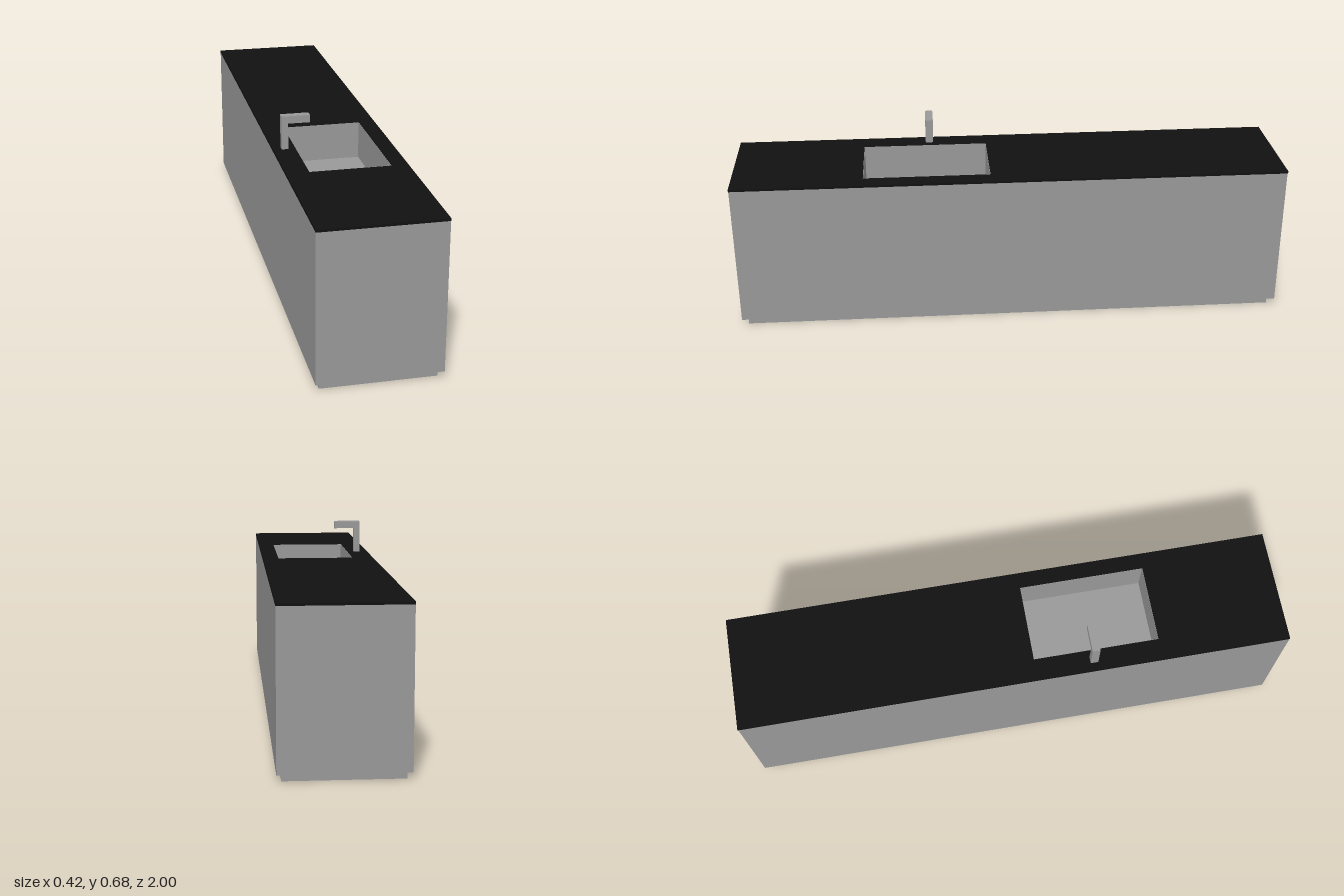
import * as THREE from 'three';

const grey = new THREE.MeshStandardMaterial({ color: 0x999999 });
const dark = new THREE.MeshStandardMaterial({ color: 0x111111 });

// Rectangles in plan: [x0, x1, z0, z1]
const SINK = [-0.13, 0.15, 0.075, 0.53];
const CUTOUT = [-0.131, 0.151, 0.074, 0.531];
const FLOOR_Y = 0.421;
const TOP_Y = 0.556;

// Box given by its minimum and maximum corners
function box(name, [x0, y0, z0], [x1, y1, z1]) {
  const mesh = new THREE.Mesh(new THREE.BoxGeometry(x1 - x0, y1 - y0, z1 - z0), grey);
  mesh.position.set((x0 + x1) / 2, (y0 + y1) / 2, (z0 + z1) / 2);
  mesh.name = name;
  return mesh;
}

// Plan rectangle as outline points (z is flipped by the later rotation)
function outline([x0, x1, z0, z1]) {
  return [[x0, -z1], [x1, -z1], [x1, -z0], [x0, -z0]].map(([x, y]) => new THREE.Vector2(x, y));
}

// Upright slab between two heights with a rectangular opening through it
function cutSlab(name, outer, hole, y0, y1, material) {
  const shape = new THREE.Shape(outline(outer));
  shape.holes.push(new THREE.Path(outline(hole)));
  const geometry = new THREE.ExtrudeGeometry(shape, { depth: y1 - y0, bevelEnabled: false });
  geometry.rotateX(-Math.PI / 2);
  const mesh = new THREE.Mesh(geometry, material);
  mesh.position.y = y0;
  mesh.name = name;
  return mesh;
}

export function createModel() {
  const model = new THREE.Group();
  model.name = 'kitchenIsland';

  // Recessed plinth, cabinet and worktop
  model.add(box('plinth', [-0.195, 0, -0.973], [0.194, 0.026, 0.977]));
  model.add(cutSlab('cabinet', [-0.21, 0.21, -0.998, 0.999], CUTOUT, 0.026, 0.547, grey));
  model.add(cutSlab('worktop', [-0.21, 0.21, -1, 1], CUTOUT, 0.547, TOP_Y, dark));

  // Basin walls rising flush with the worktop, floor and drain
  const sink = new THREE.Group();
  sink.name = 'sink';
  const [x0, x1, z0, z1] = SINK;
  sink.add(
    cutSlab('basinWalls', CUTOUT, SINK, FLOOR_Y - 0.01, TOP_Y, grey),
    box('basinFloor', [x0, FLOOR_Y - 0.01, z0], [x1, FLOOR_Y, z1]),
    box('drain', [-0.088, FLOOR_Y, 0.271], [-0.059, FLOOR_Y + 0.004, 0.3]),
  );
  model.add(sink);

  // Square-section tap: L-shaped profile extruded along z
  const tap = new THREE.Group();
  tap.name = 'tap';
  const profile = new THREE.Shape([
    [-0.18, TOP_Y], [-0.157, TOP_Y], [-0.157, 0.649],
    [-0.08, 0.649], [-0.08, 0.676], [-0.18, 0.676],
  ].map(([x, y]) => new THREE.Vector2(x, y)));
  const spout = new THREE.Mesh(
    new THREE.ExtrudeGeometry(profile, { depth: 0.028, bevelEnabled: false }), grey);
  spout.position.z = 0.272;
  spout.name = 'spout';
  tap.add(spout, box('outlet', [-0.09, 0.647, 0.277], [-0.08, 0.649, 0.295]));
  model.add(tap);

  return model;
}
